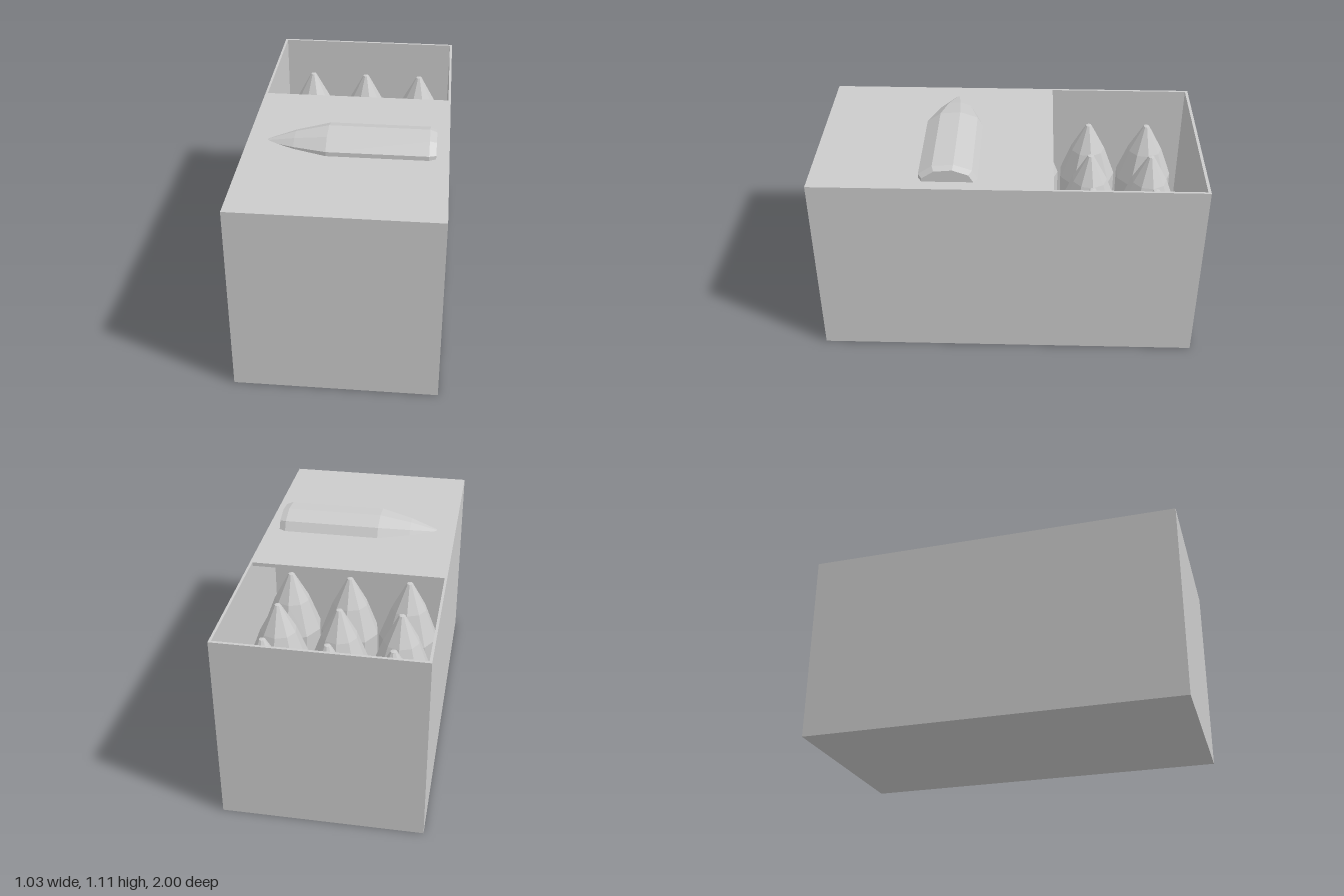
import * as THREE from 'three';

const grey = () => new THREE.MeshStandardMaterial({ color: 0xcccccc, flatShading: true });

// Nine-sided round: base, chamfer, straight body, ogive and small flat tip
function roundGeometry(phiStart) {
  const profile = [
    [0, 0], [0.137, 0], [0.158, 0.035], [0.158, 0.55],
    [0.095, 0.72], [0.016, 0.868], [0, 0.87],
  ].map(([r, y]) => new THREE.Vector2(r, y));
  return new THREE.LatheGeometry(profile, 9, phiStart);
}

export function createModel() {
  const model = new THREE.Group();
  const H = 1.03, W = 0.516, IN = 0.503;

  const add = (name, geometry, x = 0, y = 0, z = 0, parent = model) => {
    const mesh = new THREE.Mesh(geometry, grey());
    mesh.name = name;
    mesh.position.set(x, y, z);
    parent.add(mesh);
    return mesh;
  };

  // Floor, back wall, front block and thin lid as one side profile (z, y)
  const profile = new THREE.Shape([
    [-1, 0], [1, 0], [1, H], [-0.23, H], [-0.23, H - 0.02], [0.24, H - 0.02],
    [0.24, 0.04], [-0.985, 0.04], [-0.985, H], [-1, H],
  ].map(([z, y]) => new THREE.Vector2(z, y)));
  const core = new THREE.ExtrudeGeometry(profile, { depth: 2 * IN, bevelEnabled: false });
  core.rotateY(-Math.PI / 2); // profile x becomes z, depth runs to -x
  add('boxBody', core, IN);

  // Side walls
  for (const side of [-1, 1]) {
    const wall = new THREE.BoxGeometry(W - IN, H, 2);
    add(side > 0 ? 'leftWall' : 'rightWall', wall, side * (W + IN) / 2, H / 2, 0);
  }

  // Rounds standing in the box, three by three
  const rounds = new THREE.Group();
  rounds.name = 'standingRounds';
  model.add(rounds);
  const upright = roundGeometry(Math.PI);
  for (const z of [-0.76, -0.435, -0.11])
    for (const x of [-0.315, 0.005, 0.325])
      add('standingRound', upright, x, 0.045, z, rounds);

  // Flattened round lying half sunk in the lid, tip towards the right
  const emblem = add('lidRound', roundGeometry(THREE.MathUtils.degToRad(101)), 0.45, 1.02, 0.3);
  emblem.scale.x = 0.58;
  emblem.rotation.z = Math.PI / 2;

  return model;
}
